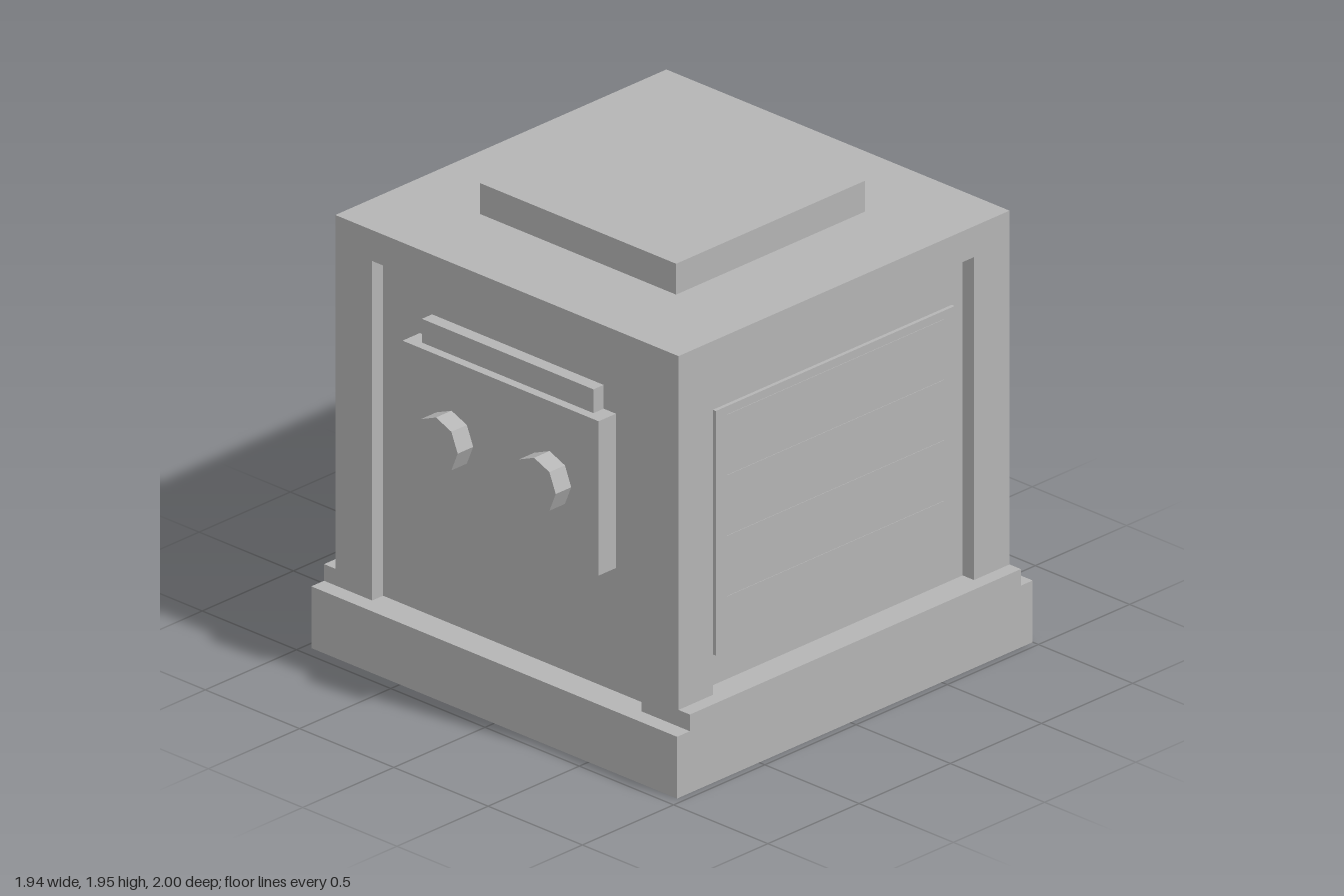
import * as THREE from 'three';

export function createModel() {
  const model = new THREE.Group();
  const grey = new THREE.MeshStandardMaterial({ color: 0xb4b4b4 });
  grey.name = 'grey casing';

  // Box given by its limits on each axis
  function box(name, [x0, x1], [y0, y1], [z0, z1], parent = model) {
    const mesh = new THREE.Mesh(new THREE.BoxGeometry(x1 - x0, y1 - y0, z1 - z0), grey);
    mesh.position.set((x0 + x1) / 2, (y0 + y1) / 2, (z0 + z1) / 2);
    mesh.name = name;
    parent.add(mesh);
    return mesh;
  }
  function group(name) {
    const g = new THREE.Group();
    g.name = name;
    model.add(g);
    return g;
  }
  const mirrorX = (s, a, b) => (s > 0 ? [a, b] : [-b, -a]);

  // Plinth, recessed core and top
  box('base', [-0.97, 0.97], [0, 0.26], [-1, 0.95]);
  box('core', [-0.85, 0.85], [0.26, 1.69], [-0.875, 0.82]);
  box('topSlab', [-0.91, 0.91], [1.69, 1.82], [-0.935, 0.88]);
  box('roofCap', [-0.52, 0.52], [1.82, 1.95], [-0.545, 0.49]);

  for (const s of [1, -1]) {
    const side = s > 0 ? 'left' : 'right';
    // Corner posts and side sill
    box(side + 'FrontPost', mirrorX(s, 0.715, 0.91), [0.26, 1.69], [0.69, 0.88]);
    box(side + 'BackPost', mirrorX(s, 0.715, 0.91), [0.26, 1.69], [-0.935, -0.74]);
    box(side + 'Sill', mirrorX(s, 0.85, 0.97), [0.26, 0.33], [-0.935, 0.88]);

    // Side panel with nearly flush slats
    box(side + 'Panel', mirrorX(s, 0.84, 0.866), [0.46, 1.49], [-0.68, 0.63]);
    const slats = group(side + 'Slats');
    for (let i = 0; i < 4; i++) {
      const y = 0.49 + i * 0.255;
      box('slat', mirrorX(s, 0.85, 0.868), [y, y + 0.2], [-0.62, 0.57], slats);
    }
  }

  // Front control plate with two octagonal knobs
  box('frontPlate', [-0.52, 0.52], [0.78, 1.43], [0.81, 0.915]);
  box('frontPlateStrip', [-0.455, 0.455], [1.43, 1.53], [0.81, 0.876]);
  const knobShape = new THREE.CylinderGeometry(0.115, 0.115, 0.095, 8).toNonIndexed();
  knobShape.rotateX(Math.PI / 2);
  knobShape.computeVertexNormals();
  for (const s of [1, -1]) {
    const knob = new THREE.Mesh(knobShape, grey);
    knob.position.set(s * 0.26, 1.105, 0.9525);
    knob.name = s > 0 ? 'leftKnob' : 'rightKnob';
    model.add(knob);
  }

  // Back vent: open frame around vertical bars
  const rect = (P, x, y0, y1) => {
    const p = new P();
    p.moveTo(-x, y0).lineTo(x, y0).lineTo(x, y1).lineTo(-x, y1).closePath();
    return p;
  };
  const outline = rect(THREE.Shape, 0.585, 0.59, 1.37);
  outline.holes.push(rect(THREE.Path, 0.49, 0.69, 1.27));
  const frame = new THREE.Mesh(
    new THREE.ExtrudeGeometry(outline, { depth: 0.1, bevelEnabled: false }), grey);
  frame.position.z = -0.97;
  frame.name = 'ventFrame';
  model.add(frame);
  const bars = group('ventBars');
  for (const x of [-0.32, 0, 0.32]) {
    box('ventBar', [x - 0.08, x + 0.08], [0.68, 1.28], [-0.897, -0.87], bars);
  }

  // Back label strip and small switches
  box('backStrip', [0.01, 0.535], [1.48, 1.58], [-0.885, -0.87]);
  for (const x of [-0.195, -0.385]) {
    box('backSwitch', [x - 0.063, x + 0.063], [1.45, 1.58], [-0.935, -0.87]);
  }

  // Row of buttons along the bottom of the back
  box('buttonStrip', [-0.65, 0.65], [0.32, 0.53], [-0.885, -0.87]);
  const buttons = group('backButtons');
  for (const x of [-0.48, -0.16, 0.16, 0.48]) {
    box('backButton', [x - 0.1, x + 0.1], [0.36, 0.49], [-0.947, -0.87], buttons);
  }

  return model;
}
